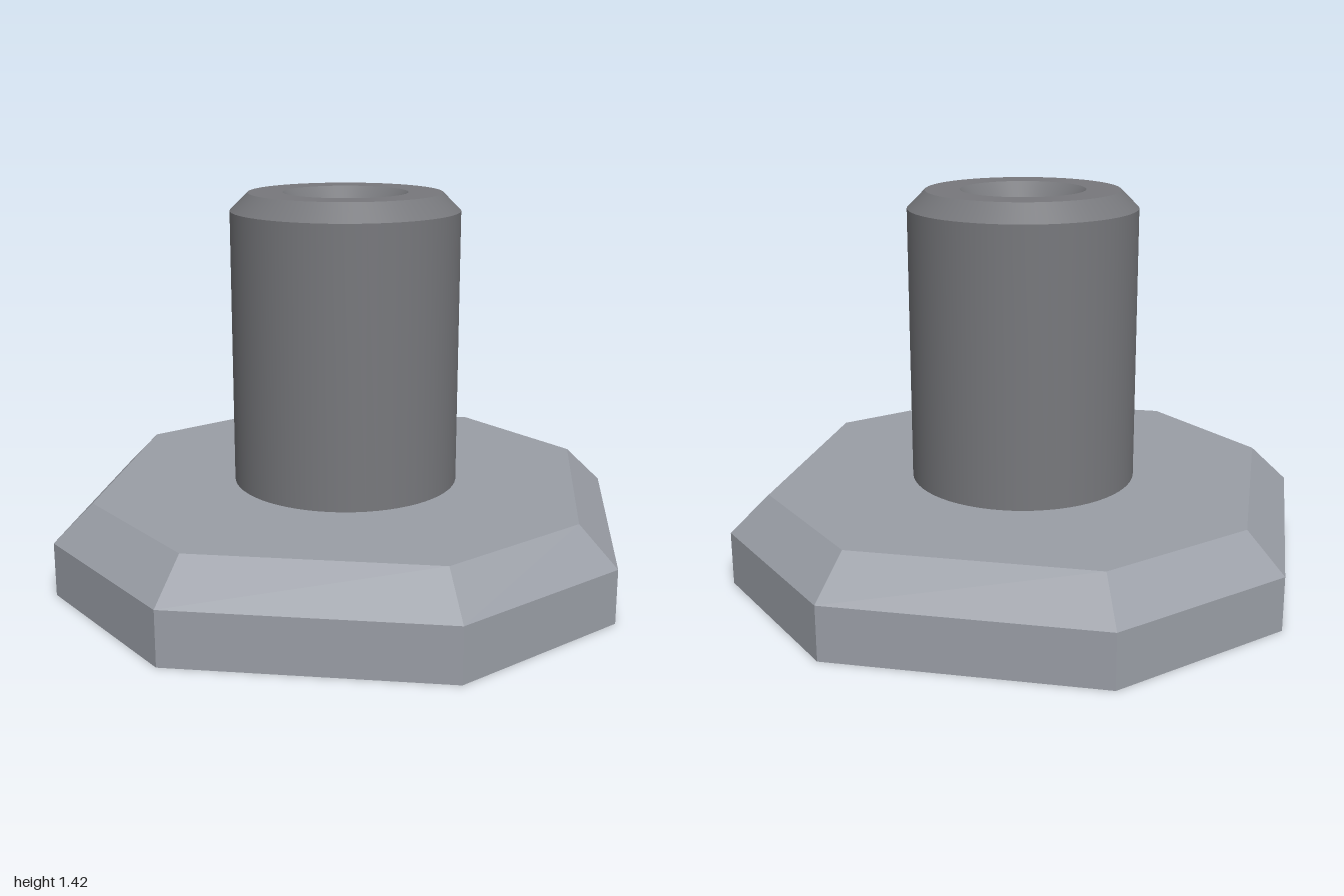
import * as THREE from 'three';

const BASE_TOP = 0.34, BASE_EDGE = 0.2, BORE = 0.085;

// Chamfered-square outline: half width h, half length c of each main side
function octagon(h, c) {
  return [[c, h], [h, c], [h, -c], [c, -h], [-c, -h], [-h, -c], [-h, c], [-c, h]]
    .map(([x, z]) => new THREE.Vector2(x, z));
}

// Flat octagonal plate with a round hole, facing up or down
function plate(outline, y, up) {
  const shape = new THREE.Shape(outline);
  shape.holes.push(new THREE.Path().absarc(0, 0, BORE, 0, Math.PI * 2, true));
  const g = new THREE.ShapeGeometry(shape, 32);
  g.rotateX(up ? -Math.PI / 2 : Math.PI / 2);
  return g.translate(0, y, 0);
}

// Band of flat quads joining a lower outline to an upper one
function band(lower, y0, upper, y1) {
  const pos = [];
  lower.forEach((a, i) => {
    const j = (i + 1) % lower.length, b = lower[j], c = upper[j], d = upper[i];
    pos.push(a.x, y0, a.y, c.x, y1, c.y, d.x, y1, d.y);
    pos.push(a.x, y0, a.y, b.x, y0, b.y, c.x, y1, c.y);
  });
  const g = new THREE.BufferGeometry();
  // Outline runs clockwise about +y, so swap corners to face outwards
  for (let i = 0; i < pos.length; i += 9) {
    for (let k = 0; k < 3; k++) [pos[i + 3 + k], pos[i + 6 + k]] = [pos[i + 6 + k], pos[i + 3 + k]];
  }
  g.setAttribute('position', new THREE.Float32BufferAttribute(pos, 3));
  // Turn the winding if the first face points inwards
  g.computeVertexNormals();
  const n = g.attributes.normal, p = g.attributes.position;
  if (n.getX(0) * p.getX(0) + n.getZ(0) * p.getZ(0) < 0) {
    for (let i = 0; i < p.count; i += 3) {
      const v = [p.getX(i), p.getY(i), p.getZ(i)];
      p.setXYZ(i, p.getX(i + 1), p.getY(i + 1), p.getZ(i + 1));
      p.setXYZ(i + 1, ...v);
    }
    g.computeVertexNormals();
  }
  return g;
}

export function createModel() {
  const model = new THREE.Group();
  const baseMat = new THREE.MeshStandardMaterial({ color: 0x9a9ea6 });
  const columnMat = new THREE.MeshStandardMaterial({ color: 0x77787c });

  const add = (parent, name, geometry, material) => {
    const mesh = new THREE.Mesh(geometry, material);
    mesh.name = name;
    parent.add(mesh);
  };
  // One separate lathe per straight profile segment keeps the rims crisp
  const ring = (r0, y0, r1, y1) =>
    new THREE.LatheGeometry([new THREE.Vector2(r0, y0), new THREE.Vector2(r1, y1)], 64);

  // Octagonal base with bevelled upper edge and central hole
  const base = new THREE.Group();
  base.name = 'base';
  const outer = octagon(1, 0.49), inner = octagon(0.865, 0.437);
  add(base, 'baseSides', band(outer, 0, outer, BASE_EDGE), baseMat);
  add(base, 'baseBevel', band(outer, BASE_EDGE, inner, BASE_TOP), baseMat);
  add(base, 'baseTop', plate(inner, BASE_TOP, true), baseMat);
  add(base, 'baseUnderside', plate(outer, 0, false), baseMat);
  add(base, 'baseHole', ring(BORE, BASE_TOP, BORE, 0), baseMat);
  model.add(base);

  // Hollow column: wall, chamfer, rim, countersink and bore
  const column = new THREE.Group();
  column.name = 'column';
  const profile = [
    ['columnWall', 0.423, BASE_TOP],
    ['columnChamfer', 0.423, 1.36],
    ['columnRim', 0.357, 1.425],
    ['countersink', 0.23, 1.425],
    ['columnBore', 0.11, 1.305],
    ['', 0.11, BASE_TOP],
  ];
  for (let i = 0; i < profile.length - 1; i++) {
    const [name, r0, y0] = profile[i], [, r1, y1] = profile[i + 1];
    add(column, name, ring(r0, y0, r1, y1), columnMat);
  }
  model.add(column);
  return model;
}
